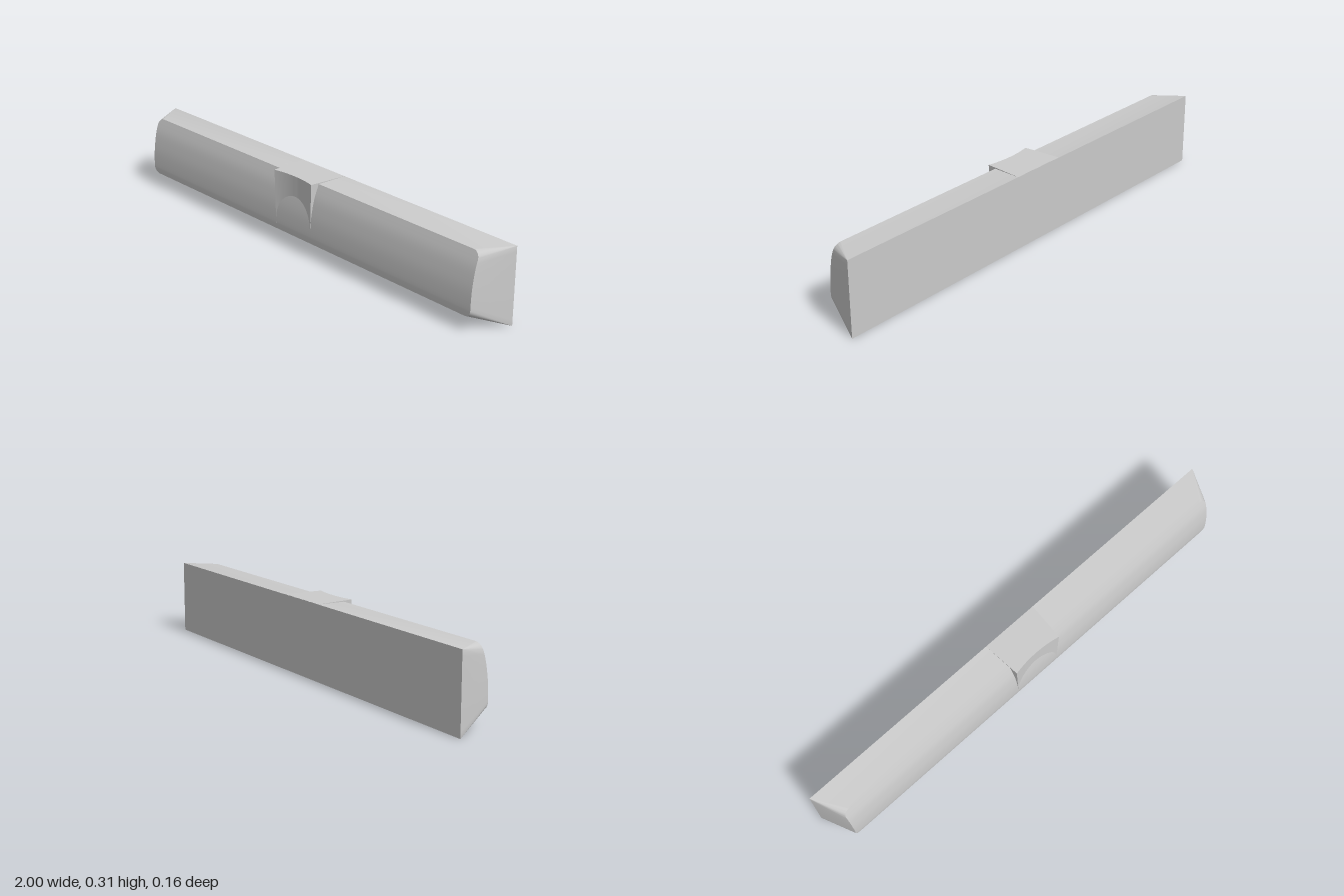
import * as THREE from 'three';
import { toCreasedNormals } from 'three/addons/utils/BufferGeometryUtils.js';

const BACK = -0.08, TOP = 0.307;
const material = new THREE.MeshStandardMaterial({ color: 0xcccccc });

// Depth of the bowed front face at height y
const bow = new THREE.SplineCurve([
  [0.06, 0.078], [0.09, 0.081], [0.15, 0.079], [0.2, 0.073], [0.25, 0.063], [0.303, 0.045],
].map(([y, z]) => new THREE.Vector2(y, z)));
const bowPoints = bow.getPoints(60);
function frontZ(y) {
  for (let i = 1; i < bowPoints.length; i++) {
    const a = bowPoints[i - 1], b = bowPoints[i];
    if (y <= b.x) return THREE.MathUtils.lerp(a.y, b.y, (y - a.x) / (b.x - a.x));
  }
  return bowPoints[bowPoints.length - 1].y;
}

// Tapered bar: sharp rectangle at the back, rounded rectangle on the bowed front
function barGeometry() {
  const halfW = 0.945, y0 = 0.06, y1 = 0.303, r = 0.03, arc = 8, rows = 14;
  const front = [], back = [];
  const add = (x, y, by) => {
    front.push([x, y, frontZ(y)]);
    back.push([1, by, BACK]);
  };
  for (let i = 0; i <= arc; i++) {
    const a = (i / arc) * Math.PI / 2;
    add(halfW - r + r * Math.sin(a), y0 + r - r * Math.cos(a), 0);
  }
  for (let i = 1; i < rows; i++) {
    add(halfW, THREE.MathUtils.lerp(y0 + r, y1 - r, i / rows), TOP * i / rows);
  }
  for (let i = 0; i <= arc; i++) {
    const a = (i / arc) * Math.PI / 2;
    add(halfW - r + r * Math.cos(a), y1 - r + r * Math.sin(a), TOP);
  }

  const pos = [];
  const same = (p, q) => p.every((v, k) => v === q[k]);
  const tri = (a, b, c) => {
    if (!same(a, b) && !same(b, c) && !same(a, c)) pos.push(...a, ...b, ...c);
  };
  const quad = (a, b, c, d) => { tri(a, b, c); tri(a, c, d); };
  const m = ([x, y, z]) => [-x, y, z];
  const n = front.length - 1;
  for (let i = 0; i < n; i++) {
    const f = front[i], g = front[i + 1], b = back[i], c = back[i + 1];
    quad(b, c, g, f);             // left end
    quad(m(f), m(g), m(c), m(b)); // right end
    quad(m(f), f, g, m(g));       // front
    if (!same(b, c)) quad(b, m(b), m(c), c); // back
  }
  quad(back[0], front[0], m(front[0]), m(back[0])); // underside
  quad(back[n], m(back[n]), m(front[n]), front[n]); // top
  const geo = new THREE.BufferGeometry();
  geo.setAttribute('position', new THREE.Float32BufferAttribute(pos, 3));
  return toCreasedNormals(geo, 0.5);
}

// Centre block with a hollowed front, narrowing slightly towards the bottom
function blockGeometry() {
  const bottom = 0.08, zEdge = 0.081, zMid = 0.069;
  const shape = new THREE.Shape();
  shape.moveTo(-0.122, -BACK - 0.0005);
  shape.lineTo(-0.11, -zEdge);
  shape.quadraticCurveTo(0, -(2 * zMid - zEdge), 0.11, -zEdge);
  shape.lineTo(0.122, -BACK - 0.0005);
  shape.closePath();
  const geo = new THREE.ExtrudeGeometry(shape, {
    depth: TOP + 0.0005 - bottom, bevelEnabled: false, curveSegments: 24,
  });
  geo.rotateX(-Math.PI / 2).translate(0, bottom, 0);
  const p = geo.attributes.position;
  for (let i = 0; i < p.count; i++) {
    const t = (p.getY(i) - bottom) / (TOP - bottom);
    p.setX(i, p.getX(i) * THREE.MathUtils.lerp(0.93, 1, t));
  }
  return toCreasedNormals(geo, 0.5);
}

export function createModel() {
  const group = new THREE.Group();
  const addPart = (name, geometry) => {
    const mesh = new THREE.Mesh(geometry, material);
    mesh.name = name;
    group.add(mesh);
  };
  addPart('taperedBar', barGeometry());
  addPart('centreBlock', blockGeometry());
  return group;
}
